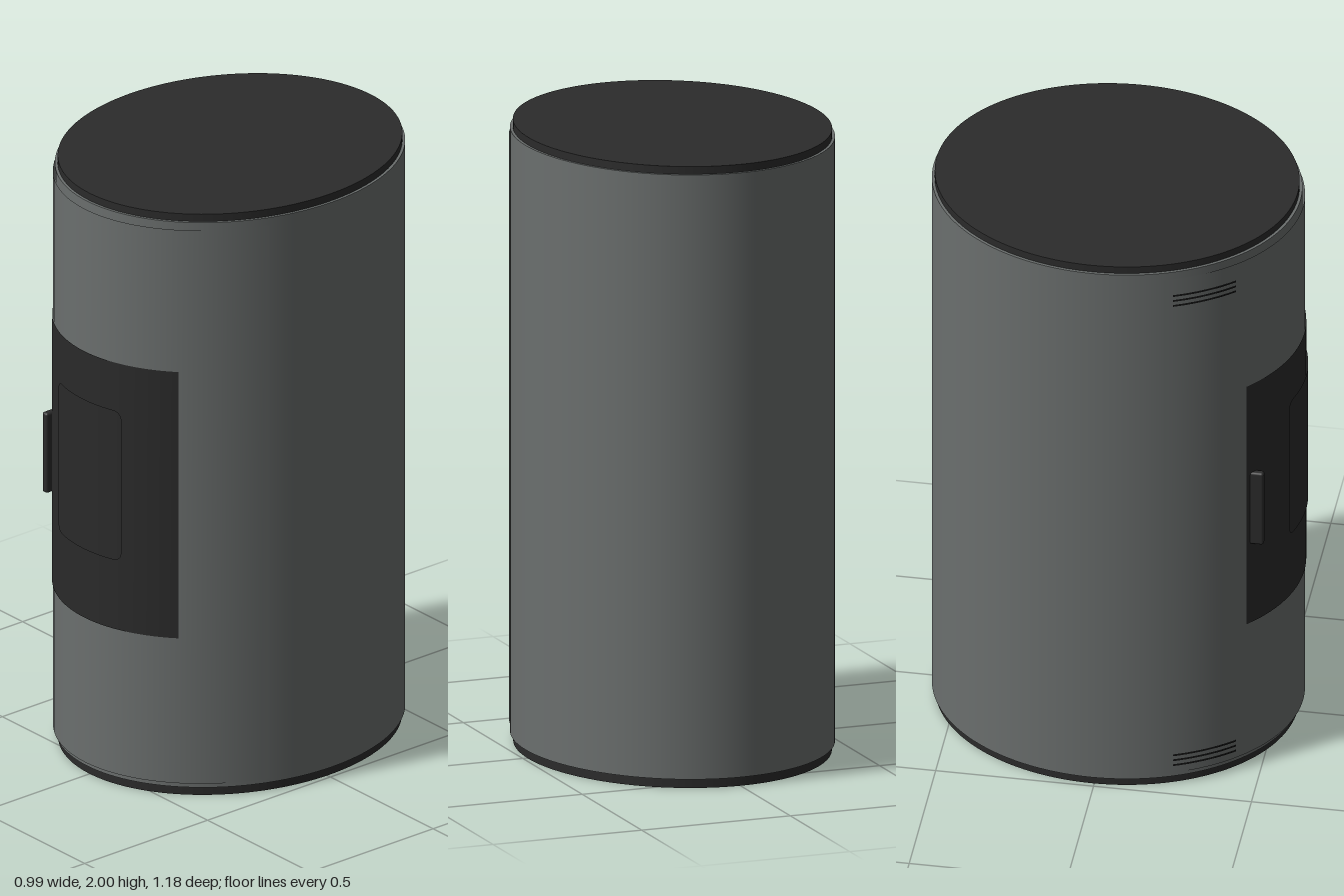
import * as THREE from 'three';
import { RoundedBoxGeometry } from 'three/addons/geometries/RoundedBoxGeometry.js';

const RX = 0.495, RZ = 0.581, CZ = -0.009; // oval body radii and centre

const paint = (name, color, side = THREE.FrontSide) => {
  const m = new THREE.MeshStandardMaterial({ color, side });
  m.name = name;
  return m;
};

export function createModel() {
  const group = new THREE.Group();
  const greySteel = paint('greySteel', 0x6b6f6e, THREE.DoubleSide);
  const darkSteel = paint('darkSteel', 0x2b2b2b);
  const darkGlass = paint('darkGlass', 0x2a2a2a, THREE.DoubleSide);
  const blackSlot = paint('blackSlot', 0x141414, THREE.DoubleSide);

  const add = (name, geometry, material) => {
    const mesh = new THREE.Mesh(geometry, material);
    mesh.name = name;
    group.add(mesh);
    return mesh;
  };

  // Upright oval drum between two heights, inset from the body outline
  const drum = (name, y0, y1, inset, material) => {
    const g = new THREE.CylinderGeometry(1, 1, y1 - y0, 128);
    g.scale(RX - inset, 1, RZ - inset);
    g.translate(0, (y0 + y1) / 2, CZ);
    return add(name, g, material);
  };

  // Thin sheet bent around the front of the oval, with optional rounded corners
  const sheet = (name, x0, x1, y0, y1, lift, material, corner = 0) => {
    const rx = RX + lift * 0.3, rz = RZ + lift;
    const a0 = Math.asin(x0 / rx), a1 = Math.asin(x1 / rx);
    const g = new THREE.PlaneGeometry(1, 1, 48, 1);
    const p = g.attributes.position;
    for (let i = 0; i < p.count; i++) {
      const a = a0 + (p.getX(i) + 0.5) * (a1 - a0);
      const x = rx * Math.sin(a);
      const edge = Math.max(0, corner - Math.min(x - x0, x1 - x));
      const trim = corner - Math.sqrt(Math.max(0, corner * corner - edge * edge));
      const y = p.getY(i) < 0 ? y0 + trim : y1 - trim;
      p.setXYZ(i, x, y, CZ + rz * Math.cos(a));
    }
    g.computeVertexNormals();
    return add(name, g, material);
  };

  // Body with recessed base and lid
  drum('base', 0, 0.035, 0.01, darkSteel);
  drum('body', 0.03, 1.975, 0, greySteel);
  drum('lid', 1.97, 2, 0.009, darkSteel);

  // Front casing, door and its window
  sheet('frontCasing', -0.46, 0.46, 0.045, 1.95, 0.008, greySteel);
  sheet('door', -0.312, 0.308, 0.545, 1.462, 0.012, darkGlass);
  sheet('window', -0.155, 0.155, 0.785, 1.3, 0.018, darkGlass, 0.03);

  // Door handle
  add('handle', new RoundedBoxGeometry(0.024, 0.275, 0.05, 3, 0.008), darkSteel)
    .position.set(-0.29, 0.985, 0.48);

  // Vent slots at the top and bottom of one side
  for (const y of [0.095, 1.868]) {
    for (const step of [-1, 0, 1]) {
      const mid = y + step * 0.019;
      sheet('ventSlot', -0.452, -0.342, mid - 0.0035, mid + 0.0035, 0.014, blackSlot);
    }
  }
  return group;
}
